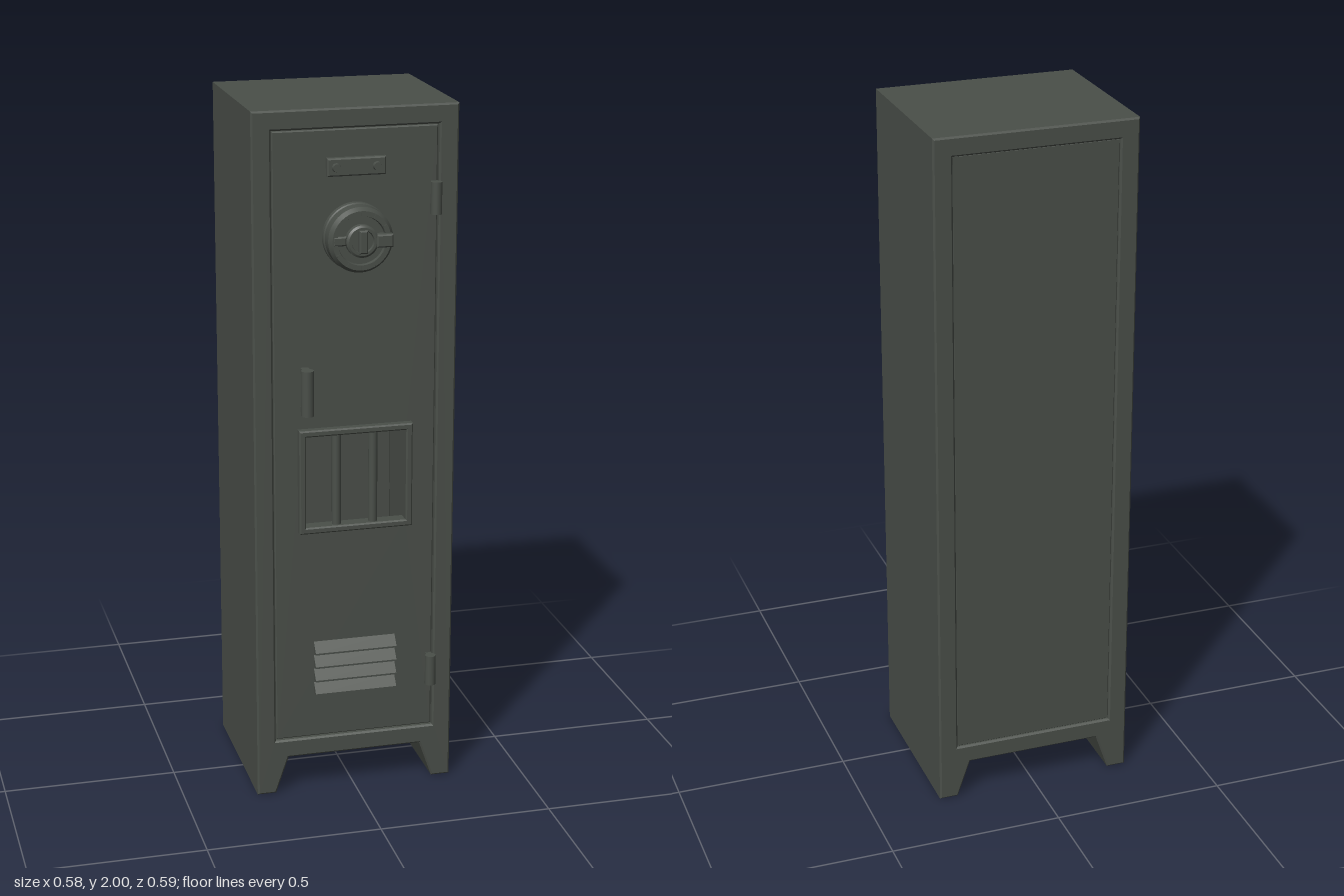
import * as THREE from 'three';

export function createModel() {
  const root = new THREE.Group();
  const steel = new THREE.MeshStandardMaterial({ color: 0x4a4f49 });
  steel.name = 'grey green steel';

  const add = (name, geo, x = 0, y = 0, z = 0, parent = root) => {
    const m = new THREE.Mesh(geo, steel);
    m.name = name;
    m.position.set(x, y, z);
    parent.add(m);
    return m;
  };
  const poly = (pts, Type = THREE.Shape) => new Type(pts.map(p => new THREE.Vector2(...p)));
  const rect = (x0, x1, y0, y1, Type) => poly([[x0, y0], [x1, y0], [x1, y1], [x0, y1]], Type);
  // Slab extruded from z0 to z1, with softened edges kept inside its outline
  const slab = (shape, z0, z1, b = 0.004) => new THREE.ExtrudeGeometry(shape, {
    depth: z1 - z0 - 2 * b, bevelEnabled: true, bevelThickness: b, bevelSize: b,
    bevelOffset: -b, bevelSegments: 1, curveSegments: 32,
  }).translate(0, 0, z0 + b);

  const FRONT = 0.208, BACK = -0.295, DOOR = 0.201;

  // Hollow cabinet with a notch between full-depth feet
  const shell = poly([[-0.29, 0], [-0.235, 0], [-0.197, 0.11], [0.197, 0.11],
    [0.235, 0], [0.29, 0], [0.29, 2], [-0.29, 2]]);
  shell.holes.push(rect(-0.235, 0.235, 0.165, 1.945, THREE.Path));
  add('cabinet', slab(shell, BACK, FRONT, 0.005));
  add('backPanel', slab(rect(-0.235, 0.235, 0.165, 1.945), BACK + 0.008, BACK + 0.03, 0.002));

  // Door with a window opening
  const door = rect(-0.232, 0.232, 0.168, 1.942);
  door.holes.push(rect(-0.148, 0.146, 0.817, 1.088, THREE.Path));
  add('door', slab(door, DOOR - 0.025, DOOR, 0.003));

  // Barred window
  const frame = rect(-0.165, 0.163, 0.8, 1.105);
  frame.holes.push(rect(-0.146, 0.144, 0.819, 1.086, THREE.Path));
  add('windowFrame', slab(frame, DOOR - 0.01, 0.225));
  for (const x of [-0.054, 0.052])
    add('windowBar', new THREE.CylinderGeometry(0.013, 0.013, 0.275, 16), x, 0.9525, 0.203);

  // Name plate with two screws
  add('namePlate', slab(rect(-0.083, 0.081, 1.816, 1.866), DOOR - 0.003, 0.22));
  for (const x of [-0.058, 0.056])
    add('plateScrew', new THREE.CylinderGeometry(0.011, 0.013, 0.012, 16).rotateX(Math.PI / 2), x, 1.841, 0.223);

  // Combination dial: stepped body turned around the z axis
  const dial = new THREE.Group();
  dial.name = 'combinationDial';
  dial.position.set(0, 1.648, 0);
  root.add(dial);
  // Each pair of points is its own band, so the steps stay crisp
  const profile = [[0.094, 0.199], [0.094, 0.218], [0.091, 0.222], [0.091, 0.258], [0.082, 0.272],
    [0.068, 0.272], [0.066, 0.262], [0.045, 0.262], [0.045, 0.28], [0.039, 0.284],
    [0.032, 0.284], [0.03, 0.276], [0.0, 0.276]];
  for (let i = 0; i + 1 < profile.length; i++) {
    const band = profile.slice(i, i + 2).map(p => new THREE.Vector2(...p));
    add('dialBand', new THREE.LatheGeometry(band, 40).rotateX(Math.PI / 2), 0, 0, 0, dial);
  }
  for (let i = 0; i < 12; i++) {
    const a = i * Math.PI / 6;
    const tick = add('dialTick', new THREE.BoxGeometry(0.005, 0.012, 0.004),
      Math.sin(a) * 0.075, Math.cos(a) * 0.075, 0.272, dial);
    tick.rotation.z = -a;
  }
  add('dialGrip', slab(rect(-0.012, 0.012, -0.032, 0.032), 0.27, 0.294), 0, 0, 0, dial);
  add('dialPointer', slab(rect(0.038, 0.084, -0.018, 0.018), 0.26, 0.29), 0, 0, 0, dial);
  add('dialStop', slab(rect(-0.08, -0.042, -0.012, 0.014), 0.26, 0.274), 0, 0, 0, dial);

  // Pull handle on two posts
  add('handleGrip', new THREE.CylinderGeometry(0.018, 0.018, 0.13, 20), -0.145, 1.22, 0.24);
  for (const y of [1.165, 1.275])
    add('handlePost', new THREE.BoxGeometry(0.022, 0.016, 0.045), -0.145, y, 0.2175);

  // Hinge barrels, each with a leaf behind
  for (const y of [0.35, 1.745]) {
    add('hingeBarrel', new THREE.CylinderGeometry(0.0155, 0.0155, 0.09, 20), 0.222, y, 0.226);
    add('hingeLeaf', new THREE.BoxGeometry(0.018, 0.086, 0.02), 0.222, y, 0.206);
  }

  // Sloping vent louvres
  const louvre = poly([[0, 0], [0.026, 0], [0.026, 0.005], [0, 0.036]]);
  for (let i = 0; i < 4; i++) {
    const g = new THREE.ExtrudeGeometry(louvre, { depth: 0.24, bevelEnabled: false });
    g.rotateY(-Math.PI / 2).translate(0.12, 0, 0);
    add('ventLouvre', g, 0, 0.303 + i * 0.042, DOOR - 0.002);
  }
  return root;
}
